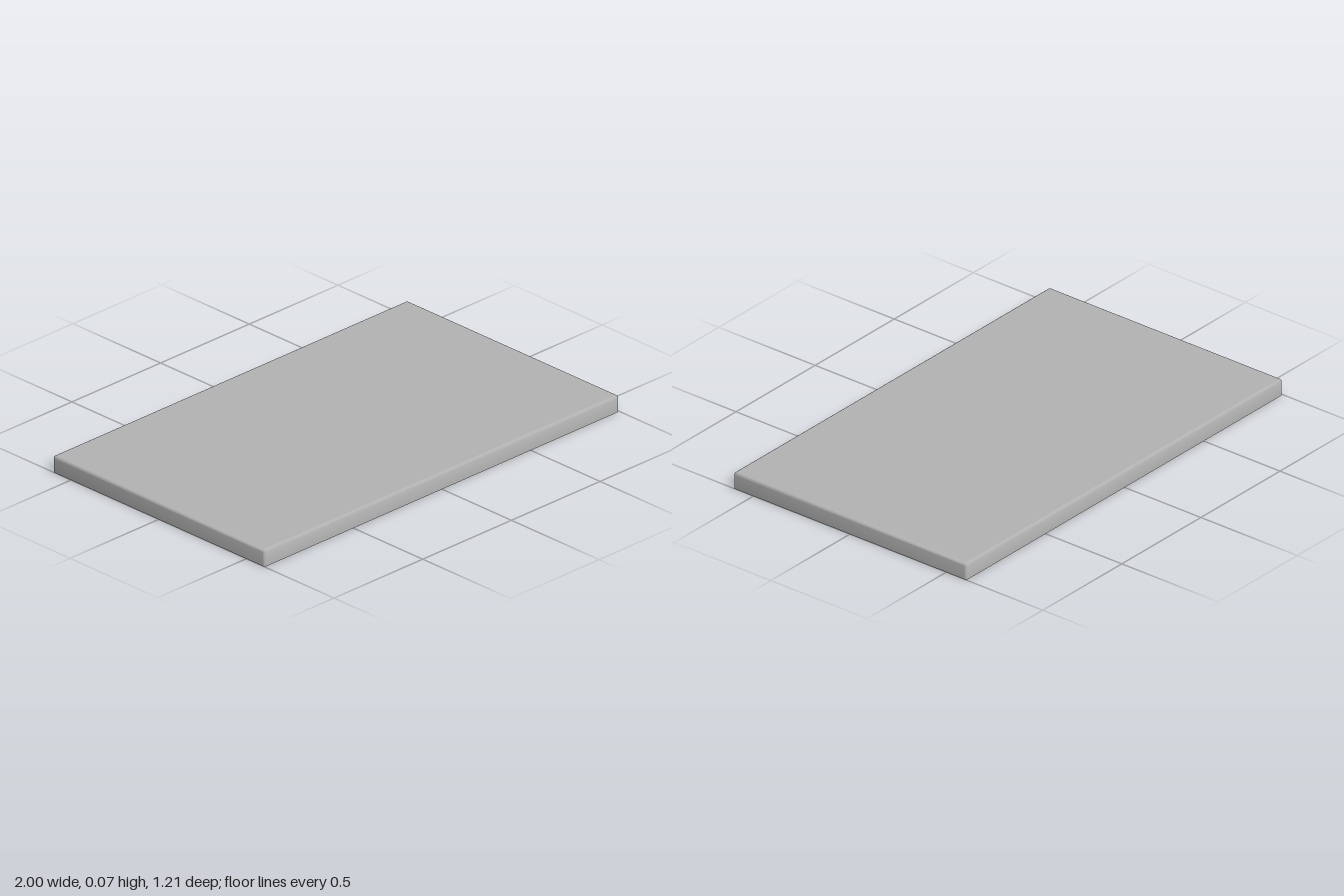
import * as THREE from 'three';
import { toCreasedNormals } from 'three/addons/utils/BufferGeometryUtils.js';

const HX = 1, HZ = 0.605, H = 0.073;   // half length, half depth, height
const WALL = 0.016, FILLET = 0.012;

// Rounded rectangle outline, counter-clockwise, inset from the outer size
function outline(inset, r) {
  const pts = [];
  const corners = [[1, 1], [-1, 1], [-1, -1], [1, -1]];
  corners.forEach(([sx, sy], k) => {
    for (let i = 0; i <= 4; i++) {
      const a = (k + i / 4) * Math.PI / 2;
      pts.push(new THREE.Vector2(
        sx * (HX - inset - r) + r * Math.cos(a),
        sy * (HZ - inset - r) + r * Math.sin(a)));
    }
  });
  return pts;
}

// Sweep a profile of [inset, y] around the outline
function sweep(profile) {
  const pos = [], idx = [];
  const n = 20;
  profile.forEach(([inset, y]) => {
    outline(inset, Math.max(0.003, FILLET - inset)).forEach(p => pos.push(p.x, y, -p.y));
  });
  for (let j = 0; j < profile.length - 1; j++) {
    for (let i = 0; i < n; i++) {
      const k = (i + 1) % n;
      const a = j * n + i, b = a + n, c = (j + 1) * n + k, d = j * n + k;
      idx.push(a, b, c, a, c, d);
    }
  }
  const g = new THREE.BufferGeometry();
  g.setAttribute('position', new THREE.Float32BufferAttribute(pos, 3));
  g.setIndex(idx);
  return toCreasedNormals(g, 0.6);
}

export function createModel() {
  const group = new THREE.Group();
  const grey = new THREE.MeshStandardMaterial({ color: 0xb2b2b2 });
  grey.name = 'grey';
  const add = (name, geometry) => {
    const m = new THREE.Mesh(geometry, grey);
    m.name = name;
    group.add(m);
    return m;
  };

  // Rim: filleted top edge, outer wall, bottom lip and inner wall
  const profile = [];
  for (let i = 0; i <= 4; i++) {
    const a = i / 4 * Math.PI / 2;
    profile.push([FILLET * (1 - Math.sin(a)), H - FILLET * (1 - Math.cos(a))]);
  }
  profile.push([0, 0], [WALL, 0], [WALL, 0.064]);
  add('rim', sweep(profile));

  // Flat top
  const top = new THREE.ShapeGeometry(new THREE.Shape(outline(FILLET, 0.003)));
  top.rotateX(-Math.PI / 2);
  top.translate(0, H, 0);
  add('topPanel', top);

  // Underside plate with staggered hexagonal pockets
  const plate = new THREE.Shape(outline(WALL - 0.002, 0.003));
  const pitch = 0.165, row = pitch * Math.sqrt(3) / 2, R = 0.076;
  for (let r = -3; r <= 3; r++) {
    const count = r % 2 ? 11 : 10;
    for (let c = 0; c < count; c++) {
      const x = (c - (count - 1) / 2) * pitch;
      const hex = [];
      for (let i = 0; i < 6; i++) {
        const a = Math.PI / 6 - i * Math.PI / 3;
        hex.push(new THREE.Vector2(x + R * Math.cos(a), r * row + R * Math.sin(a)));
      }
      plate.holes.push(new THREE.Path(hex));
    }
  }
  const plateGeo = new THREE.ExtrudeGeometry(plate, { depth: 0.011, bevelEnabled: false });
  plateGeo.rotateX(-Math.PI / 2);
  plateGeo.translate(0, 0.052, 0);
  add('honeycombPlate', plateGeo);

  // Pocket floors
  const floor = new THREE.PlaneGeometry(2 * (HX - WALL), 2 * (HZ - WALL));
  floor.rotateX(Math.PI / 2);
  floor.translate(0, 0.062, 0);
  add('pocketFloor', floor);

  // Small snap bumps on the long inner walls
  for (const s of [-1, 1]) {
    for (const x of [-0.74, 0, 0.74]) {
      const bump = add('snapBump', new THREE.SphereGeometry(0.011, 12, 8));
      bump.position.set(x, 0.014, s * (HZ - WALL));
    }
  }
  return group;
}
